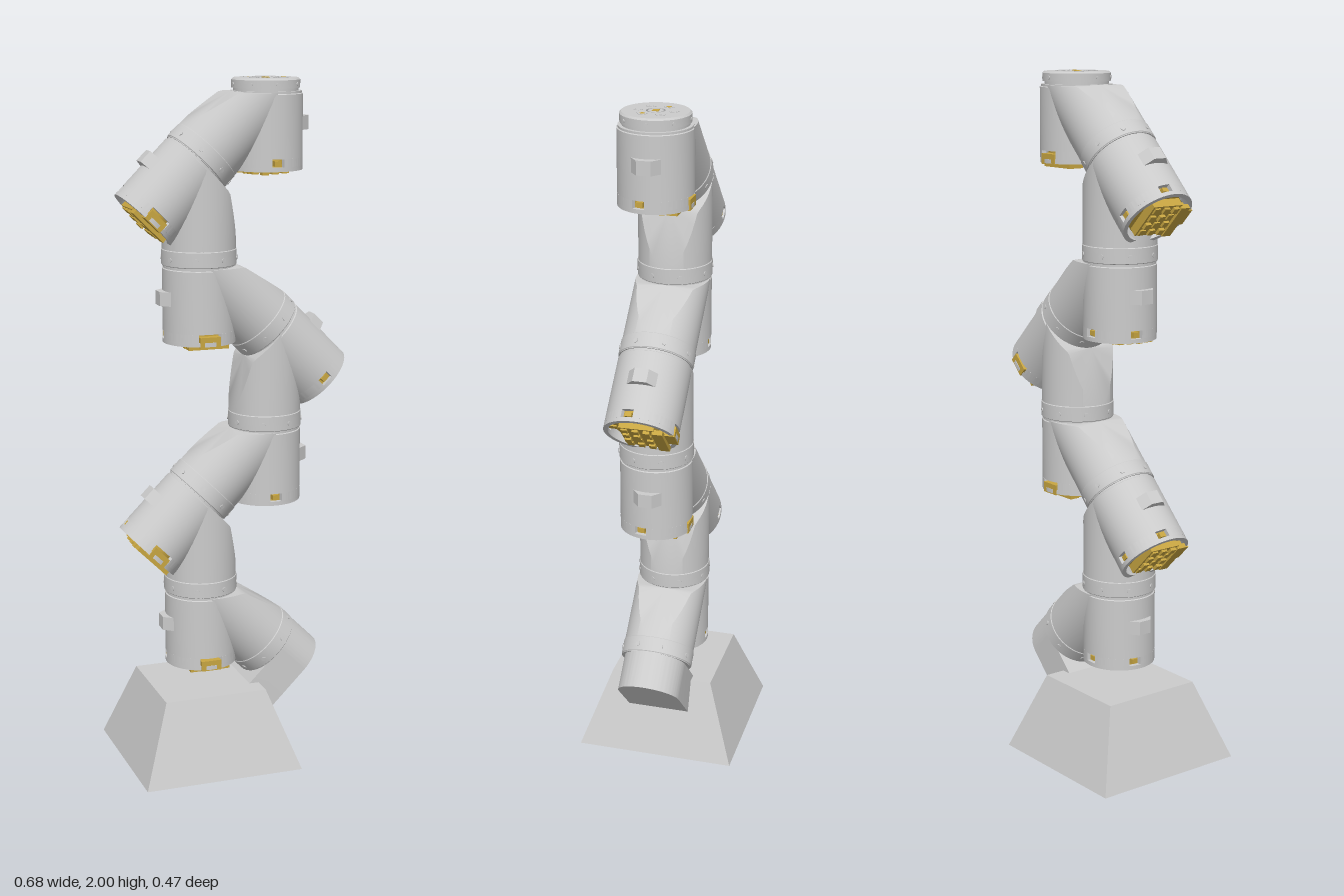
import * as THREE from 'three';
import { toCreasedNormals } from 'three/addons/utils/BufferGeometryUtils.js';

const grey = new THREE.MeshStandardMaterial({ color: 0xcccccc });
const gold = new THREE.MeshStandardMaterial({ color: 0xc8a642 });
const R = 0.105, C = Math.SQRT1_2;
// lower flange centre relative to the output flange of a module
const SX = 0.21, SY = -0.196;

function add(parent, name, geo, mat = grey) {
  const m = new THREE.Mesh(geo, mat);
  m.name = name;
  parent.add(m);
  return m;
}
const box = (w, h, d, x, y, z) => new THREE.BoxGeometry(w, h, d).translate(x, y, z);
const lathe = pts =>
  toCreasedNormals(new THREE.LatheGeometry(pts.map(p => new THREE.Vector2(...p)), 48), 0.5);

// shape in the ground plane, extruded upwards from y0 to y1
function slab(shape, y0, y1) {
  const g = new THREE.ExtrudeGeometry(shape, { depth: y1 - y0, bevelEnabled: false, curveSegments: 16 });
  return toCreasedNormals(g.rotateX(-Math.PI / 2).translate(0, y0, 0), 0.5);
}
function sector(a0, a1, y0, y1) {
  const s = new THREE.Shape();
  s.absarc(0, 0, R, a0, a1, false);
  s.absarc(0, 0, 0.092, a1, a0, true);
  return slab(s, y0, y1);
}

// slanted cylinder, trimmed by a sloping plane and ended inside the housing
function armGeometry() {
  const L = 0.2;
  const g = new THREE.CylinderGeometry(R, R, L, 64, 1).translate(0, L / 2, 0);
  const p = g.attributes.position;
  for (let i = 0; i < p.count; i++) {
    const r = p.getX(i), z = p.getZ(i);
    const x0 = SX + r * C, y0 = SY + r * C;
    if (p.getY(i) < L / 2) p.setXYZ(i, x0, y0, z);
    else if (Math.hypot(r, z) < 0.01) p.setXYZ(i, 0.105, 0, 0);
    else {
      const plane = (-0.604 * (x0 - 0.105) - y0) / 0.28;
      const t = Math.min(plane, (-0.003 - y0) / C, x0 / C);
      p.setXYZ(i, x0 - t * C, y0 + t * C, z);
    }
  }
  return toCreasedNormals(g, 0.5);
}

// one joint module: output flange at the origin facing +y, arm towards +x
function makeModule() {
  const g = new THREE.Group();
  add(g, 'housing', lathe([[0, -0.16], [0.092, -0.16], [0.092, -0.185], [R, -0.185], [R, -0.008],
    [0.102, -0.006], [0.102, 0], [0, 0]]));
  add(g, 'housingRim', lathe([[0.092, -0.22], [R, -0.22], [R, -0.208], [0.092, -0.208], [0.092, -0.22]]));

  // wall between the windows near the open end
  const windows = [[Math.PI / 2, 0.17], [Math.PI - 0.2, 0.17], [Math.PI * 1.5, 0.32]];
  let from = -0.9;
  for (const [a, w] of windows) {
    add(g, 'windowWall', sector(from, a - w, -0.208, -0.185));
    from = a + w;
  }
  add(g, 'windowWall', sector(from, Math.PI * 2 - 0.9, -0.208, -0.185));

  // side tab opposite the arm
  const tab = new THREE.Shape([[-0.092, -0.045], [-0.092, 0.045], [-0.123, 0.02], [-0.123, -0.02]]
    .map(p => new THREE.Vector2(...p)));
  add(g, 'sideTab', slab(tab, -0.11, -0.07));

  // slanted arm, collar and collar screws
  add(g, 'arm', armGeometry());
  const collar = new THREE.Group();
  collar.name = 'collar';
  collar.position.set(SX, SY, 0);
  collar.rotation.z = Math.PI / 4;
  g.add(collar);
  add(collar, 'collarRing', lathe([[0, 0], [0.103, 0], [0.107, 0.004], [0.107, 0.046], [0.105, 0.048], [0, 0.048]]));
  for (let i = 0; i < 8; i++) {
    const s = add(collar, 'collarScrew',
      new THREE.CylinderGeometry(0.007, 0.007, 0.006, 12).rotateZ(Math.PI / 2).translate(0.106, 0.022, 0));
    s.rotation.y = (i + 0.5) * Math.PI / 4;
  }

  // drive unit inside the open end
  const drive = new THREE.Group();
  drive.name = 'drive';
  g.add(drive);
  add(drive, 'driveBoard', new THREE.CylinderGeometry(0.082, 0.082, 0.03, 12).translate(0, -0.185, 0), gold);
  add(drive, 'driveBlock', box(0.12, 0.03, 0.1, 0, -0.21, 0), gold);
  add(drive, 'connector', box(0.06, 0.03, 0.045, 0.0, -0.208, 0.081), gold);
  add(drive, 'connector', box(0.12, 0.014, 0.03, 0.005, -0.226, 0.06), gold);
  add(drive, 'windowPlug', box(0.018, 0.014, 0.03, 0, -0.197, -0.085), gold);
  add(drive, 'windowPlug', box(0.03, 0.014, 0.018, -0.083, -0.197, -0.018), gold);
  for (let i = 0; i < 4; i++)
    for (let j = 0; j < 3; j++)
      add(drive, 'boardPart', box(0.02, 0.008 + 0.004 * ((i + j) % 3), 0.018,
        -0.045 + i * 0.03, -0.226, -0.035 + j * 0.032), gold);
  return g;
}

export function createModel() {
  const model = new THREE.Group();

  // tapered base block
  const base = new THREE.BoxGeometry(0.475, 0.23, 0.475).translate(0, 0.115, 0);
  const bp = base.attributes.position;
  for (let i = 0; i < bp.count; i++)
    if (bp.getY(i) > 0.1) {
      bp.setX(i, bp.getX(i) * 0.646);
      bp.setZ(i, bp.getZ(i) * 0.65);
    }
  base.computeVertexNormals();
  add(model, 'base', base.translate(-0.1025, 0, 0));

  // chain of joint modules
  let x = SX - 0.1, y = 0.514 + SY;

  // round-topped bracket between the base and the first module
  const arch = new THREE.Shape();
  arch.moveTo(-0.093, -0.143);
  arch.lineTo(0.093, -0.143);
  arch.absarc(0, 0.012, 0.093, 0, Math.PI, false);
  arch.closePath();
  const bg = new THREE.ExtrudeGeometry(arch, { depth: 0.109, bevelEnabled: false, curveSegments: 32 });
  const bracket = add(model, 'bracket', toCreasedNormals(bg.rotateY(Math.PI / 2), 0.5));
  bracket.position.set(x, y, 0);
  bracket.rotation.z = -Math.PI / 4;

  for (let i = 0; i < 7; i++) {
    const side = i % 4 < 2 ? 1 : -1;
    const tilt = i % 2 ? -side * Math.PI / 4 : 0;
    const m = makeModule();
    m.name = 'jointModule' + (i + 1);
    m.rotation.set(0, side > 0 ? 0 : Math.PI, tilt, 'ZYX');
    const step = new THREE.Vector3(-SX, -SY, 0).applyEuler(m.rotation);
    x += step.x;
    y += step.y;
    m.position.set(x, y, 0);
    model.add(m);
  }

  // end plate with hex sockets
  const plate = new THREE.Group();
  plate.name = 'endPlate';
  plate.position.set(x, y, 0);
  model.add(plate);
  const h = 2 - y;
  add(plate, 'plateDisc', lathe([[0, 0], [0.092, 0], [0.092, 0.008], [0.097, 0.008], [0.097, h - 0.006],
    [0.092, h - 0.001], [0.026, h - 0.001], [0.026, h - 0.008], [0, h - 0.008]]));
  add(plate, 'hub', new THREE.CylinderGeometry(0.021, 0.021, 0.007, 32).translate(0, h - 0.005, 0));
  add(plate, 'hubPin', box(0.018, 0.004, 0.018, 0, h - 0.002, 0), gold);
  for (let i = 0; i < 6; i++) {
    const a = (i + 0.5) * Math.PI / 3, px = 0.05 * Math.cos(a), pz = 0.05 * Math.sin(a);
    add(plate, 'hexNut', new THREE.CylinderGeometry(0.015, 0.015, 0.003, 6)
      .translate(px, h - 0.0015, pz));
    add(plate, 'boltEnd', new THREE.CylinderGeometry(0.007, 0.007, 0.003, 16)
      .translate(px, h - 0.001, pz), i === 0 || i === 3 ? gold : grey);
  }
  for (let i = 0; i < 8; i++) {
    const s = add(plate, 'plateScrew',
      new THREE.CylinderGeometry(0.005, 0.005, 0.004, 12).rotateZ(Math.PI / 2).translate(0.097, 0.019, 0));
    s.rotation.y = i * Math.PI / 4;
  }
  return model;
}
